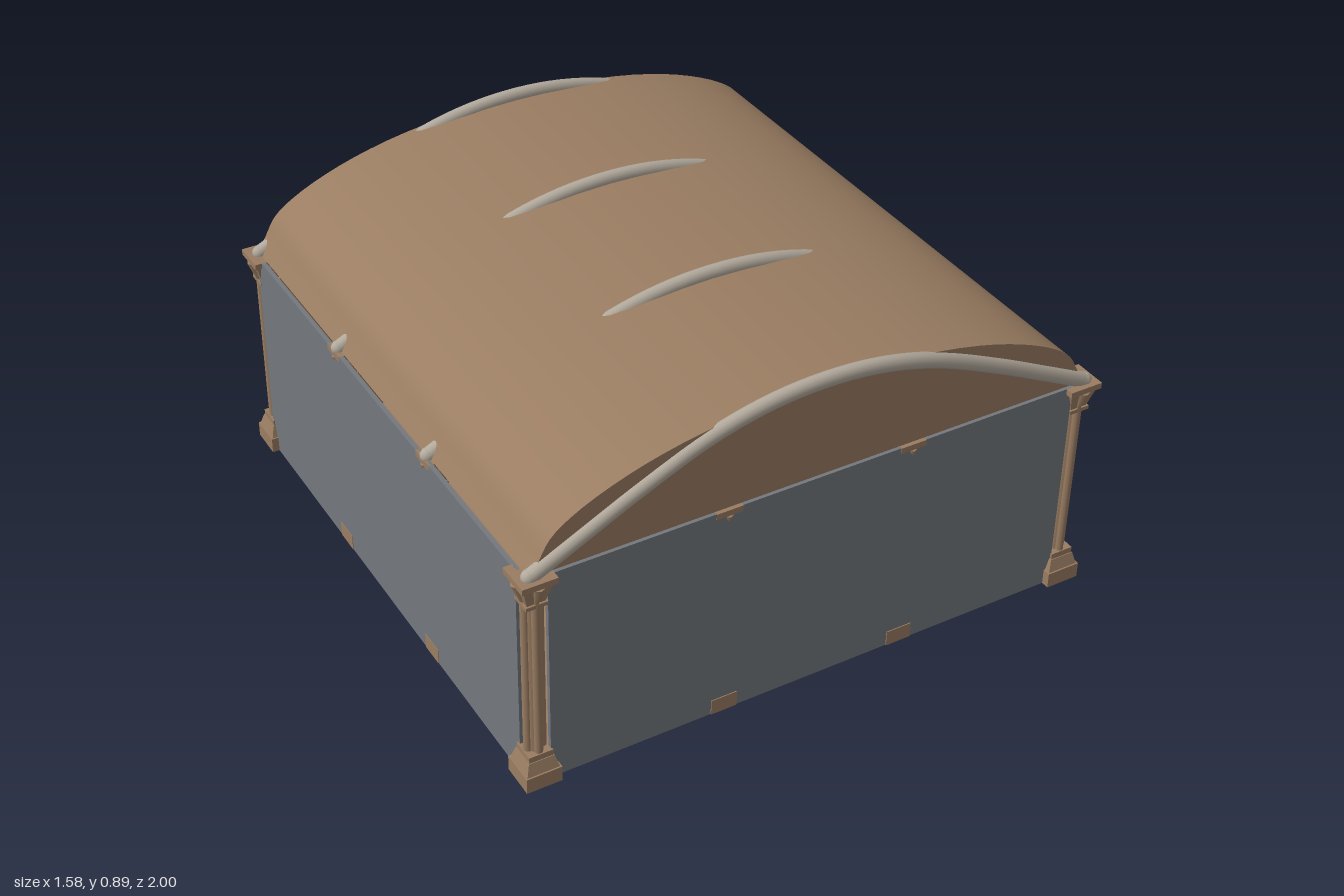
import * as THREE from 'three';

const mat = (name, color, side = THREE.FrontSide) => {
  const m = new THREE.MeshStandardMaterial({ color, side });
  m.name = name;
  return m;
};

export function createModel() {
  const root = new THREE.Group();
  root.name = 'vaultedHall';
  const grey = mat('wallGrey', 0x74787d);
  const brown = mat('sandstoneBrown', 0x9a7d62, THREE.DoubleSide);
  const stone = mat('paleStone', 0xb3aa9d);
  const black = mat('black', 0x060606);

  const add = (name, geo, material, x = 0, y = 0, z = 0, parent = root) => {
    const m = new THREE.Mesh(geo, material);
    m.name = name;
    m.position.set(x, y, z);
    parent.add(m);
    return m;
  };
  // Box given by its min and max corners
  const box = (name, a, b, material, parent) => add(name,
    new THREE.BoxGeometry(b[0] - a[0], b[1] - a[1], b[2] - a[2]), material,
    (a[0] + b[0]) / 2, (a[1] + b[1]) / 2, (a[2] + b[2]) / 2, parent);
  // Grey box with one brown inner face (0 +x, 1 -x, 4 +z, 5 -z)
  const lined = (inner) => Array.from({ length: 6 }, (_, i) => (i === inner ? brown : grey));

  const FRONT = 0.975, BACK = -0.56, SIDE = 0.767, TOP = 0.61, BASE = 0.01;

  // Floors: grey underside, brown top
  const floorMats = lined(2);
  box('hallFloor', [-0.755, 0, BACK + 0.01], [0.755, BASE + 0.003, 0.965], floorMats);
  box('passageFloor', [-0.2, 0, -0.985], [0.2, BASE + 0.003, BACK + 0.01], floorMats);

  // Front and side walls, leaving the corners open for columns
  box('frontWall', [-0.712, BASE, FRONT - 0.012], [0.712, TOP, FRONT], lined(5));
  for (const s of [-1, 1]) {
    const x0 = s > 0 ? SIDE - 0.012 : -SIDE;
    box('sideWall', [x0, BASE, -0.515], [x0 + 0.012, TOP, 0.928], lined(s > 0 ? 1 : 0));
  }

  // Back wall with arched doorway, grey outside and brown inside
  const arch = (shape, w, spring) => {
    shape.moveTo(-w, BASE + 0.003);
    shape.lineTo(w, BASE + 0.003);
    shape.lineTo(w, spring);
    shape.absarc(0, spring, w, 0, Math.PI, false);
    shape.lineTo(-w, BASE + 0.003);
    return shape;
  };
  const doorPlate = (w, h) => {
    const s = new THREE.Shape([[-w, BASE], [w, BASE], [w, h], [-w, h]].map((p) => new THREE.Vector2(...p)));
    s.holes.push(arch(new THREE.Path(), 0.175, 0.285));
    return s;
  };
  const plate = (name, shape, depth, material, z) => add(name,
    new THREE.ExtrudeGeometry(shape, { depth, bevelEnabled: false, curveSegments: 24 }), material, 0, 0, z);
  plate('backWall', doorPlate(0.712, TOP), 0.01, grey, BACK);
  plate('backWallLining', doorPlate(0.712, TOP), 0.005, brown, BACK + 0.01);
  plate('doorSurround', doorPlate(0.25, 0.525), 0.01, grey, BACK - 0.01);

  // Open-topped passage closed by a black end panel
  for (const s of [-1, 1]) {
    const x0 = s > 0 ? 0.187 : -0.2;
    box('passageWall', [x0, BASE, -0.985], [x0 + 0.013, 0.52, BACK], lined(s > 0 ? 1 : 0));
  }
  box('endPanel', [-0.23, BASE, -1], [0.23, 0.525, -0.982], black);

  // Vault roof: a sheet bent over the arch profile
  const half = [[0.752, 0.61], [0.73, 0.645], [0.7, 0.697], [0.65, 0.736], [0.55, 0.783], [0.42, 0.823], [0.25, 0.853]];
  const profile = [...half.map(([x, y]) => [-x, y]), [0, 0.868], ...half.slice().reverse()];
  const roofCurve = new THREE.CatmullRomCurve3(profile.map(([x, y]) => new THREE.Vector3(x, y, 0)));
  const roofPts = roofCurve.getPoints(42);
  const zBack = -0.548, zFront = 0.966;
  const sheet = new THREE.PlaneGeometry(1, 1, roofPts.length - 1, 1);
  const pos = sheet.attributes.position;
  for (let i = 0; i < pos.count; i++) {
    const p = roofPts[i % roofPts.length];
    pos.setXYZ(i, p.x, p.y, i < roofPts.length ? zBack : zFront);
  }
  sheet.computeVertexNormals();
  add('vaultRoof', sheet, brown);
  // Gable panels under the vault ends
  const gable = new THREE.Shape(roofPts.map((p) => new THREE.Vector2(p.x, p.y)));
  for (const z of [zBack, zFront]) add('gable', new THREE.ShapeGeometry(gable), brown, 0, 0, z);

  // Arched stone ribs
  const ribHalf = [[0.752, 0.612], [0.62, 0.678], [0.48, 0.747], [0.3, 0.824], [0.15, 0.862]];
  const ribPts = [...ribHalf.map(([x, y]) => [-x, y]), [0, 0.874], ...ribHalf.slice().reverse()];
  const ribGeo = new THREE.TubeGeometry(
    new THREE.CatmullRomCurve3(ribPts.map(([x, y]) => new THREE.Vector3(x, y, 0))), 48, 0.02, 12);
  const knobGeo = new THREE.SphereGeometry(0.02, 12, 8);
  for (const z of [0.965, 0.465, -0.036, -0.537]) {
    const rib = new THREE.Group();
    rib.name = 'archRib';
    rib.position.z = z;
    rib.scale.z = 0.9;
    add('ribArch', ribGeo, stone, 0, 0, 0, rib);
    for (const s of [-1, 1]) add('ribEnd', knobGeo, stone, s * 0.752, 0.613, 0, rib);
    root.add(rib);
  }

  // Clustered columns with stepped base and flared capital
  const square = (top, bottom, h) => new THREE.CylinderGeometry(
    top * Math.SQRT1_2, bottom * Math.SQRT1_2, h, 4).toNonIndexed().rotateY(Math.PI / 4);
  const block = (w, h) => new THREE.BoxGeometry(w, h, w);
  for (const g of [0]) void g;
  const parts = [
    ['plinth', block(0.092, 0.042), 0.031],
    ['baseTaper', square(0.066, 0.084, 0.032), 0.068],
    ['baseRing', block(0.062, 0.016), 0.092],
    ['shaftCore', new THREE.CylinderGeometry(0.02, 0.02, 0.44, 12), 0.32],
    ['neckRing', block(0.056, 0.01), 0.534],
    ['capitalFlare', square(0.076, 0.046, 0.056), 0.567],
    ['abacus', block(0.09, 0.016), 0.602],
  ];
  parts.forEach(([name, geo]) => { if (/Taper|Flare/.test(name)) geo.computeVertexNormals(); });
  const lobe = new THREE.CylinderGeometry(0.011, 0.011, 0.44, 10);
  const leaf = new THREE.CylinderGeometry(0.014, 0.006, 0.058, 8);
  const column = (name, x, z, scale) => {
    const c = new THREE.Group();
    c.name = name;
    c.position.set(x, 0, z);
    c.scale.set(scale, 1, scale);
    for (const [n, geo, y] of parts) add(n, geo, brown, 0, y, 0, c);
    for (let i = 0; i < 8; i++) {
      const a = (i * Math.PI) / 4, cx = Math.cos(a), cz = Math.sin(a);
      if (i % 2 === 0) add('shaftLobe', lobe, brown, cx * 0.018, 0.32, cz * 0.018, c);
      const l = add('capitalLeaf', leaf, brown, cx * 0.029, 0.567, cz * 0.029, c);
      l.rotation.set(cz * 0.25, 0, -cx * 0.25);
    }
    root.add(c);
  };
  for (const s of [-1, 1]) {
    column('cornerColumn', s * 0.74, 0.95, 1);
    column('cornerColumn', s * 0.74, -0.533, 1);
    for (const z of [0.465, -0.036]) column('sideColumn', s * 0.733, z, 0.77);
    column('frontColumn', s * 0.25, 0.942, 0.77);
    column('backColumn', s * 0.25, -0.527, 0.77);
  }
  return root;
}
